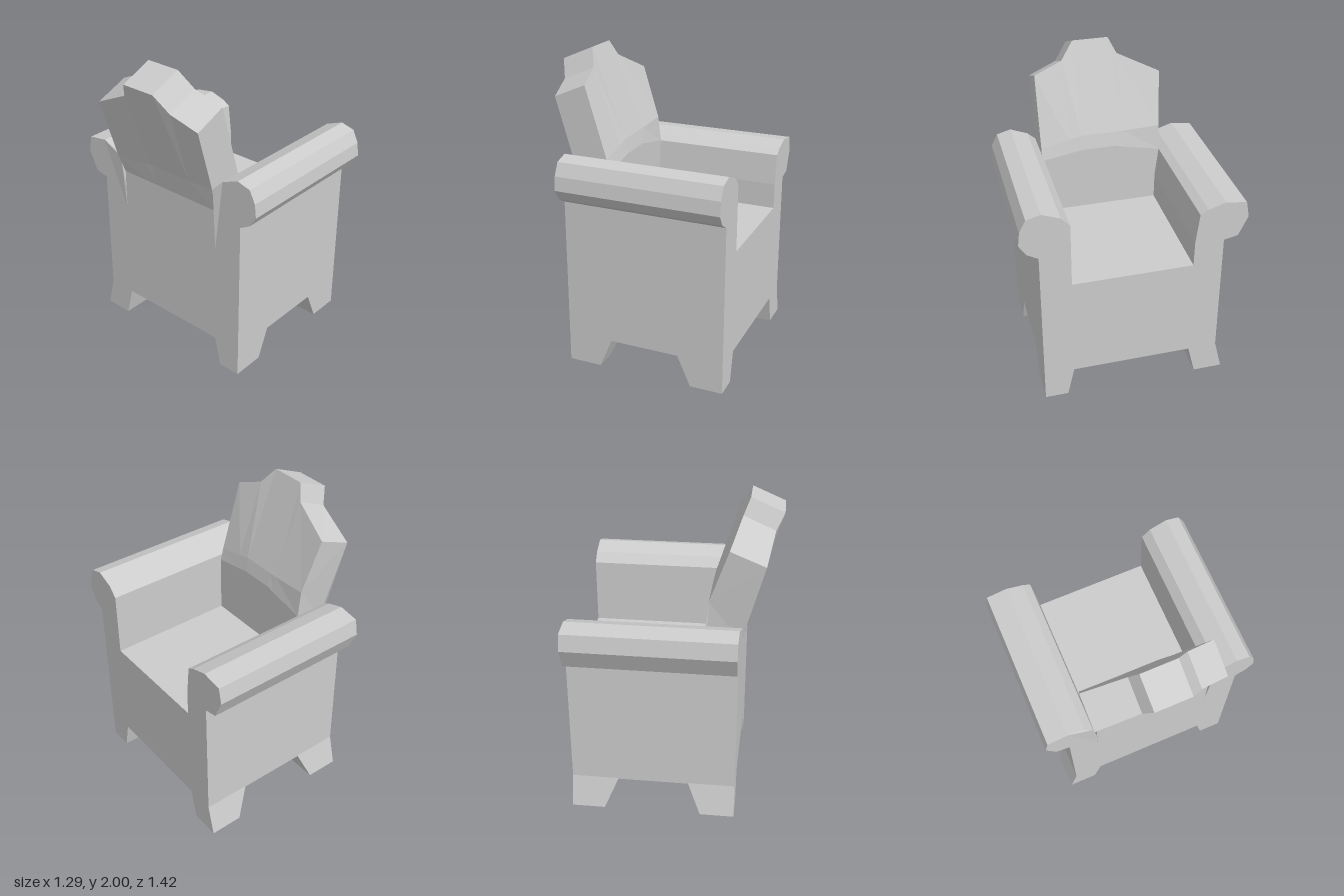
import * as THREE from 'three';

const fabric = new THREE.MeshStandardMaterial({ color: 0xcccccc });
fabric.name = 'grey fabric';

// Joins matching loops of [x, y, z] points, ordered upwards along axis (0 x, 1 y, 2 z), into a closed faceted solid
function loft(name, sections, axis) {
  const flat = (loop) => loop.map((p) => new THREE.Vector2(p[(axis + 1) % 3], p[(axis + 2) % 3]));
  if (THREE.ShapeUtils.area(flat(sections[0])) < 0) sections = sections.map((s) => [...s].reverse());
  const n = sections[0].length;
  const last = (sections.length - 1) * n;
  const index = [];
  for (let s = 0; s < last; s += n) {
    for (let i = 0; i < n; i++) {
      const j = (i + 1) % n;
      index.push(s + i, s + j, s + n + j, s + i, s + n + j, s + n + i);
    }
  }
  for (const [a, b, c] of THREE.ShapeUtils.triangulateShape(flat(sections[0]), [])) index.push(c, b, a);
  for (const [a, b, c] of THREE.ShapeUtils.triangulateShape(flat(sections.at(-1)), [])) {
    index.push(last + a, last + b, last + c);
  }
  const indexed = new THREE.BufferGeometry();
  indexed.setAttribute('position', new THREE.Float32BufferAttribute(sections.flat(2), 3));
  indexed.setIndex(index);
  const geometry = indexed.toNonIndexed();
  geometry.computeVertexNormals();
  const mesh = new THREE.Mesh(geometry, fabric);
  mesh.name = name;
  return mesh;
}

export function createModel() {
  const chair = new THREE.Group();
  chair.name = 'armchair';

  // Seat block and rolled arms: one [z, y] profile swept along x
  const profile = [
    [0.6, 0.2], [0.6, 1.12], [0.67, 1.16], [0.715, 1.23], [0.705, 1.32], [0.665, 1.4],
    [0.575, 1.425], [0.46, 1.38], [0.405, 1.32], [0.405, 0.89],
    [-0.37, 0.89], [-0.372, 1.06], [-0.395, 1.26], [-0.445, 1.29], [-0.555, 1.325],
    [-0.69, 1.305], [-0.71, 1.2], [-0.65, 1.07], [-0.56, 1.05], [-0.56, 0.2],
  ];
  // The arms' inner top corners reach back to meet the backrest
  const rear = profile.map(([z, y], i) => [i === 8 ? -0.445 : i === 12 ? -0.43 : -0.42, y, z]);
  const front = profile.map(([z, y]) => [0.645, y, z]);
  chair.add(loft('seatAndArms', [rear, front], 0));

  // Leaning backrest: upright slices across z
  // [z at foot, z at crease, z at top, front top x, y, rear top x, y, crease heights: low, high, rear]
  const slices = [
    [-0.37, -0.395, -0.425, -0.34, 1.77, -0.56, 1.68, 1.26, 1.43, 1.27],
    [-0.15, -0.15, -0.15, -0.4, 1.9, -0.6, 1.81, 1.31, 1.42, 1.3],
    [-0.1, -0.1, -0.1, -0.44, 2, -0.65, 1.91, 1.325, 1.42, 1.31],
    [0.135, 0.135, 0.135, -0.44, 2, -0.65, 1.91, 1.325, 1.42, 1.31],
    [0.22, 0.22, 0.22, -0.39, 1.89, -0.6, 1.8, 1.31, 1.4, 1.31],
    [0.405, 0.405, 0.405, -0.36, 1.82, -0.57, 1.73, 1.28, 1.36, 1.32],
  ];
  chair.add(loft('backrest', slices.map(([zf, zc, zt, fx, fy, rx, ry, low, high, back]) => [
    [-0.2, 0.89, zf], [-0.2, low, zc], [-0.22, high, zc], [fx, fy, zt],
    [rx, ry, zt], [-0.45, back, zc], [-0.42, 1.16, zf], [-0.42, 0.89, zf],
  ]), 2));

  // Tapered legs: [x, x] and [z, z] spans at the floor and under the seat
  const alongX = [
    ['rear', [-0.42, -0.2], [-0.42, -0.115]],
    ['front', [0.43, 0.645], [0.34, 0.645]],
  ];
  const alongZ = [
    ['Right', [0.45, 0.6], [0.405, 0.6]],
    ['Left', [-0.61, -0.42], [-0.56, -0.37]],
  ];
  const rect = ([x0, x1], [z0, z1], y) => [[x0, y, z0], [x1, y, z0], [x1, y, z1], [x0, y, z1]];
  for (const [end, xFoot, xTop] of alongX) {
    for (const [side, zFoot, zTop] of alongZ) {
      chair.add(loft(`${end}${side}Leg`, [rect(xFoot, zFoot, 0), rect(xTop, zTop, 0.205)], 1));
    }
  }
  return chair;
}
